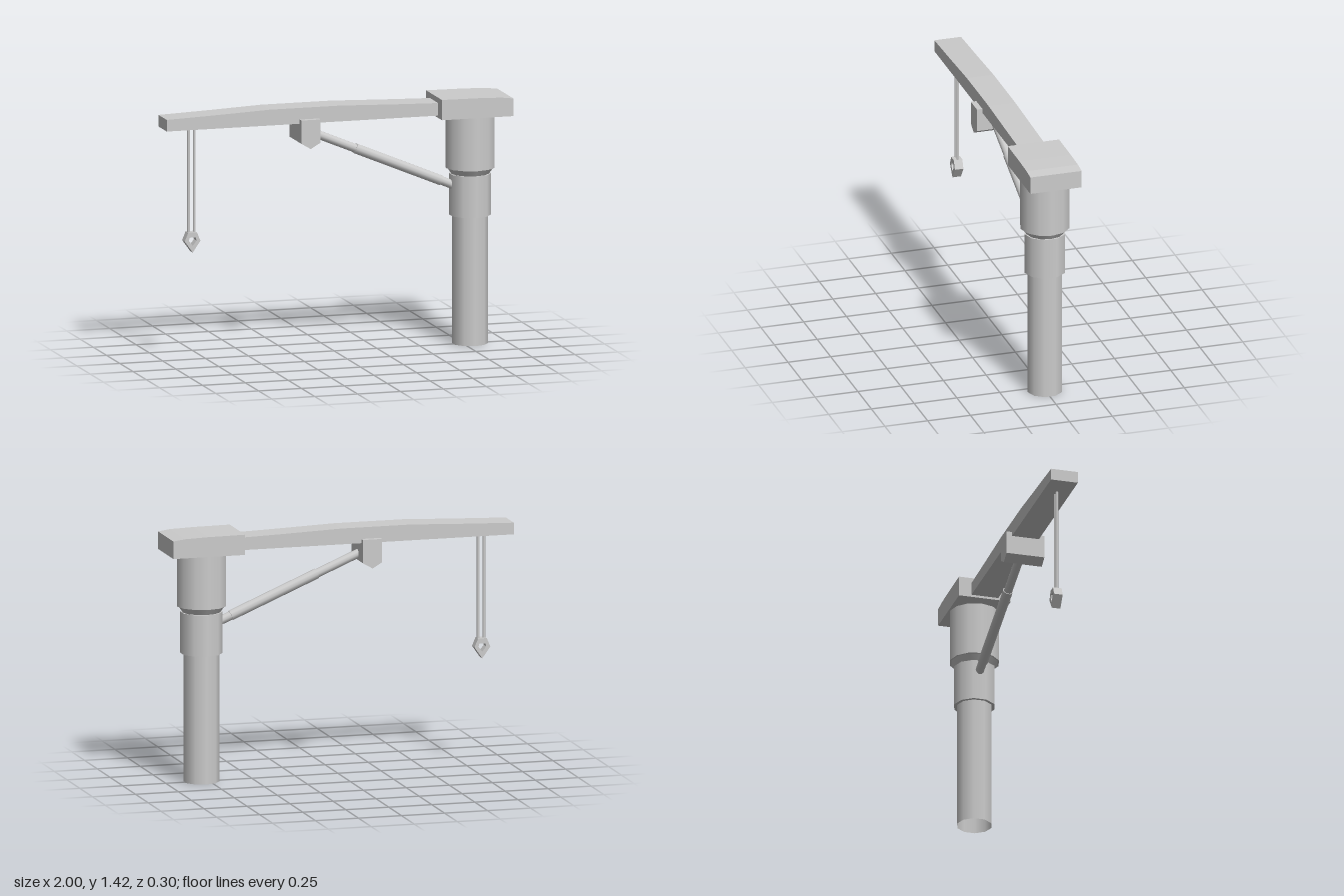
import * as THREE from 'three';

const material = new THREE.MeshStandardMaterial({ color: 0xcccccc, side: THREE.DoubleSide });
const POST_X = 0.793;

function addMesh(parent, name, geometry) {
  const mesh = new THREE.Mesh(geometry, material);
  mesh.name = name;
  parent.add(mesh);
  return mesh;
}

// Side profile in x/y, extruded symmetrically about z = 0
function slab(points, depth, holePoints) {
  const shape = new THREE.Shape(points.map(([x, y]) => new THREE.Vector2(x, y)));
  if (holePoints) shape.holes.push(new THREE.Path(holePoints.map(([x, y]) => new THREE.Vector2(x, y))));
  return new THREE.ExtrudeGeometry(shape, { depth, bevelEnabled: false }).translate(0, 0, -depth / 2);
}

// Upright cylinder section of the post
function postSection(parent, name, rTop, rBottom, y0, y1, sides, open = false) {
  const mesh = addMesh(parent, name, new THREE.CylinderGeometry(rTop, rBottom, y1 - y0, sides, 1, open));
  mesh.position.set(POST_X, (y0 + y1) / 2, 0);
}

// Round bar between two points
function bar(parent, name, a, b, radius, sides) {
  const dir = b.clone().sub(a);
  const mesh = addMesh(parent, name, new THREE.CylinderGeometry(radius, radius, dir.length(), sides));
  mesh.position.copy(a).add(b).multiplyScalar(0.5);
  mesh.quaternion.setFromUnitVectors(new THREE.Vector3(0, 1, 0), dir.normalize());
}

export function createModel() {
  const crane = new THREE.Group();
  crane.name = 'jibCrane';

  // Stepped post, hollow at the foot
  const post = new THREE.Group();
  post.name = 'post';
  crane.add(post);
  postSection(post, 'pole', 0.1, 0.1, 0, 0.74, 10, true);
  postSection(post, 'collar', 0.118, 0.118, 0.73, 0.965, 10);
  postSection(post, 'neck', 0.132, 0.104, 0.96, 1.0, 12);
  postSection(post, 'turret', 0.141, 0.141, 1.0, 1.305, 12);

  // Head block with a sloping rear top
  addMesh(crane, 'headBlock', slab(
    [[0.583, 1.303], [1, 1.303], [1, 1.403], [0.93, 1.412], [0.8, 1.416], [0.583, 1.418]], 0.3));

  // Slightly arched boom
  addMesh(crane, 'boom', slab(
    [[-1, 1.316], [0.6, 1.316], [0.6, 1.387], [0.35, 1.394], [0, 1.406], [-0.4, 1.406], [-0.7, 1.393], [-1, 1.382]], 0.156));

  // Bracket wrapped around the boom underside
  addMesh(crane, 'strutBracket', slab(
    [[-0.225, 1.34], [-0.225, 1.208], [-0.17, 1.175], [-0.113, 1.208], [-0.113, 1.34]], 0.22));

  // Telescoping strut: thin rod, thicker sleeve, thin end
  const strut = new THREE.Group();
  strut.name = 'strut';
  crane.add(strut);
  const start = new THREE.Vector3(-0.16, 1.262, 0);
  const end = new THREE.Vector3(0.72, 0.892, 0);
  const along = (t) => start.clone().lerp(end, t);
  bar(strut, 'strutRod', along(0), along(0.35), 0.025, 10);
  bar(strut, 'strutSleeve', along(0.32), along(0.89), 0.029, 10);
  bar(strut, 'strutEnd', along(0.88), along(1), 0.025, 10);

  // Twin hoist cables
  for (const x of [-0.849, -0.815]) {
    bar(crane, 'cable', new THREE.Vector3(x, 0.715, 0), new THREE.Vector3(x, 1.32, 0), 0.008, 8);
  }

  // Pointed hook block with an opening
  addMesh(crane, 'hook', slab(
    [[-0.858, 0.724], [-0.879, 0.675], [-0.832, 0.61], [-0.787, 0.675], [-0.808, 0.724]], 0.05,
    [[-0.85, 0.695], [-0.815, 0.695], [-0.81, 0.677], [-0.832, 0.648], [-0.855, 0.677]]));

  return crane;
}
